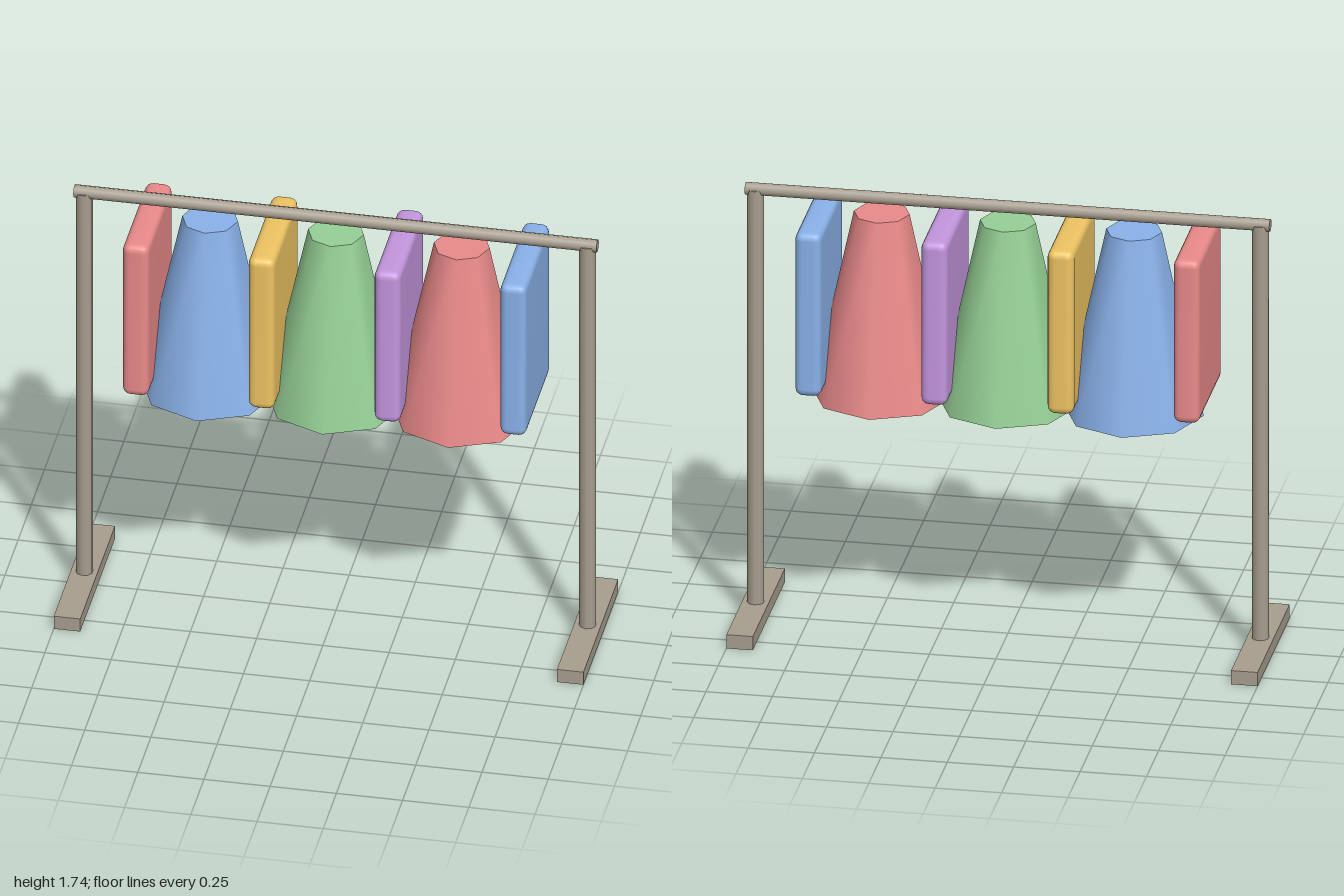
import * as THREE from 'three';
import { mergeVertices } from 'three/addons/utils/BufferGeometryUtils.js';
import { RoundedBoxGeometry } from 'three/addons/geometries/RoundedBoxGeometry.js';

const paint = (color) => new THREE.MeshStandardMaterial({ color });
const metal = paint(0xa89e8f);
const red = paint(0xea8a8a);
const blue = paint(0x8ab2ea);
const green = paint(0x96d096);
const yellow = paint(0xeec463);
const purple = paint(0xc496de);

export function createModel() {
  const model = new THREE.Group();
  model.name = 'clothesRack';

  const add = (name, geometry, material, x, y, z = 0) => {
    const mesh = new THREE.Mesh(geometry, material);
    mesh.name = name;
    mesh.position.set(x, y, z);
    model.add(mesh);
    return mesh;
  };

  // Stand: a foot and a post at each end
  for (const [side, s] of [['left', 1], ['right', -1]]) {
    add(`${side}Foot`, new THREE.BoxGeometry(0.1, 0.055, 0.66), metal, s * 0.95, 0.0275);
    add(`${side}Post`, new THREE.CylinderGeometry(0.032, 0.032, 1.66, 10), metal, s * 0.95, 0.885);
  }

  // Hanging rail across the posts
  const rail = add('rail', new THREE.CylinderGeometry(0.025, 0.025, 1.975, 8), metal, 0, 1.714);
  rail.rotation.z = Math.PI / 2;

  // Flared dresses: eight-sided tapered cones
  const dressGeometry = new THREE.CylinderGeometry(0.105, 0.262, 0.725, 8);
  [blue, green, red].forEach((material, i) =>
    add(`dress${i + 1}`, dressGeometry, material, (i - 1) * 0.475, 1.2925));

  // Folded garments: softly rounded slabs with blended normals
  let slab = new RoundedBoxGeometry(0.1, 0.655, 0.475, 2, 0.03);
  slab.deleteAttribute('normal');
  slab.deleteAttribute('uv');
  slab = mergeVertices(slab);
  slab.computeVertexNormals();
  [red, yellow, purple, blue].forEach((material, i) =>
    add(`garment${i + 1}`, slab, material, (i - 1.5) * 0.475, 1.3175));

  return model;
}
